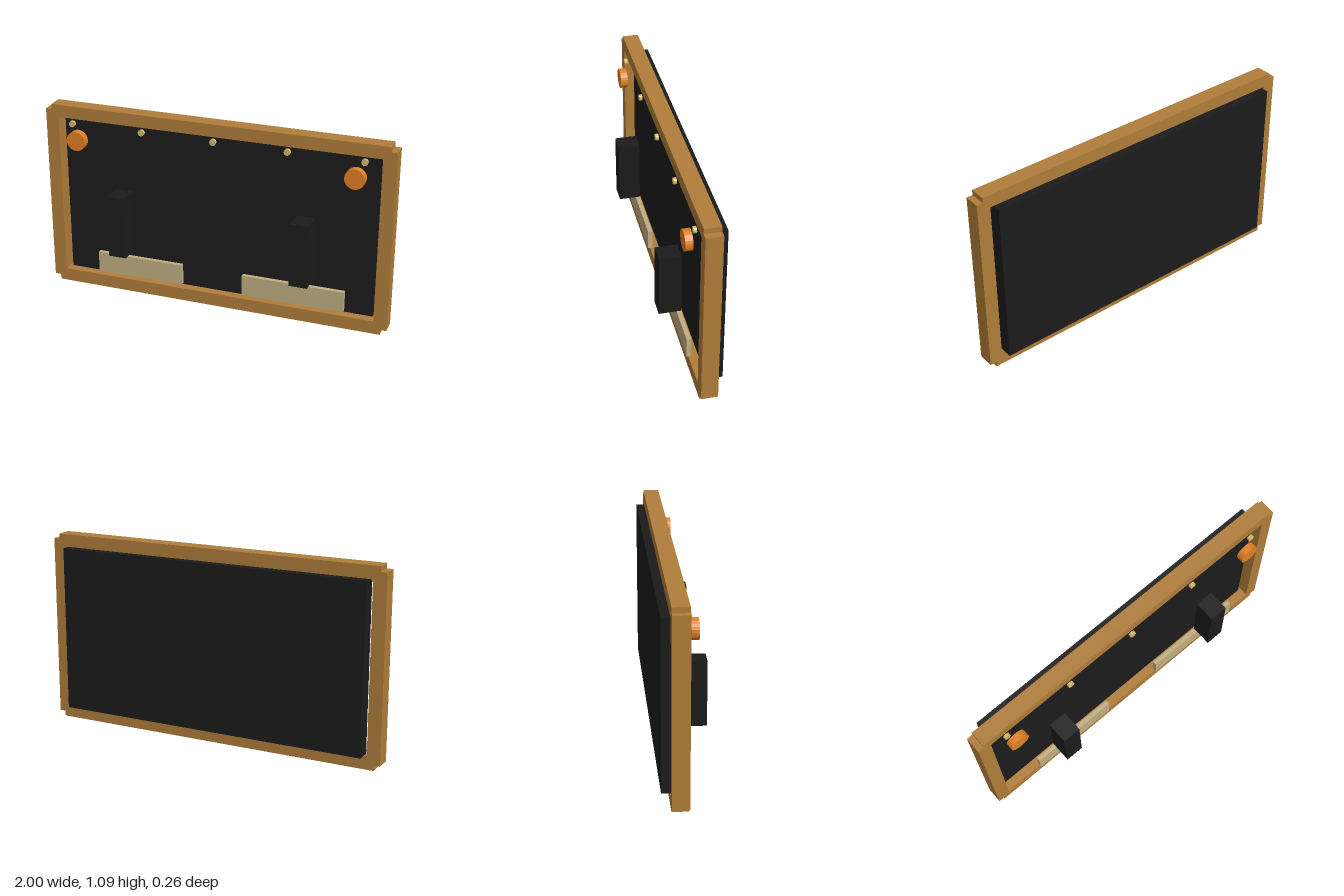
import * as THREE from 'three';

const paint = (color) => new THREE.MeshStandardMaterial({ color, flatShading: true });

export function createModel() {
  const model = new THREE.Group();
  const wood = paint(0xb07d3a), black = paint(0x1b1b1b), cream = paint(0xc0ae82);
  const orange = paint(0xe08024), brass = paint(0xd2b866);

  // Box given by its min and max corners
  function box(name, mat, [x0, y0, z0], [x1, y1, z1]) {
    const mesh = new THREE.Mesh(new THREE.BoxGeometry(x1 - x0, y1 - y0, z1 - z0), mat);
    mesh.position.set((x0 + x1) / 2, (y0 + y1) / 2, (z0 + z1) / 2);
    mesh.name = name;
    model.add(mesh);
  }

  // Round disc facing the front
  function disc(name, mat, radius, x, y, z0, z1, sides) {
    const geo = new THREE.CylinderGeometry(radius, radius, z1 - z0, sides).rotateX(Math.PI / 2);
    const mesh = new THREE.Mesh(geo, mat);
    mesh.position.set(x, y, (z0 + z1) / 2);
    mesh.name = name;
    model.add(mesh);
  }

  // Wooden frame: the rails and stiles overlap, leaving notched corners
  const back = -0.085, front = 0.005;
  box('bottomRail', wood, [-0.965, 0, back], [0.965, 0.075, front]);
  box('topRail', wood, [-0.965, 1.02, back], [0.965, 1.092, front]);
  box('rightStile', wood, [-1, 0.03, back], [-0.925, 1.063, front]);
  box('leftStile', wood, [0.925, 0.03, back], [1, 1.063, front]);

  // Dark panel set into the back of the frame
  box('panel', black, [-0.908, 0.075, -0.132], [0.908, 1.02, -0.048]);

  // Pale strips along the bottom
  box('rightStrip', cream, [-0.7, 0.11, 0], [-0.185, 0.23, 0.025]);
  box('leftStrip', cream, [0.175, 0.11, 0], [0.76, 0.23, 0.025]);

  // Upright blocks and round knobs, mirrored
  for (const side of [-1, 1]) {
    const x = side * 0.53;
    box('block', black, [x - 0.052, 0.275, 0.012], [x + 0.052, 0.638, 0.133]);
    disc('knob', orange, 0.056, side * 0.795, 0.911, 0.022, 0.062, 24);
  }

  // Row of small studs along the top
  for (let i = -2; i <= 2; i++) disc('stud', brass, 0.018, i * 0.417, 0.995, 0.006, 0.024, 12);

  return model;
}
